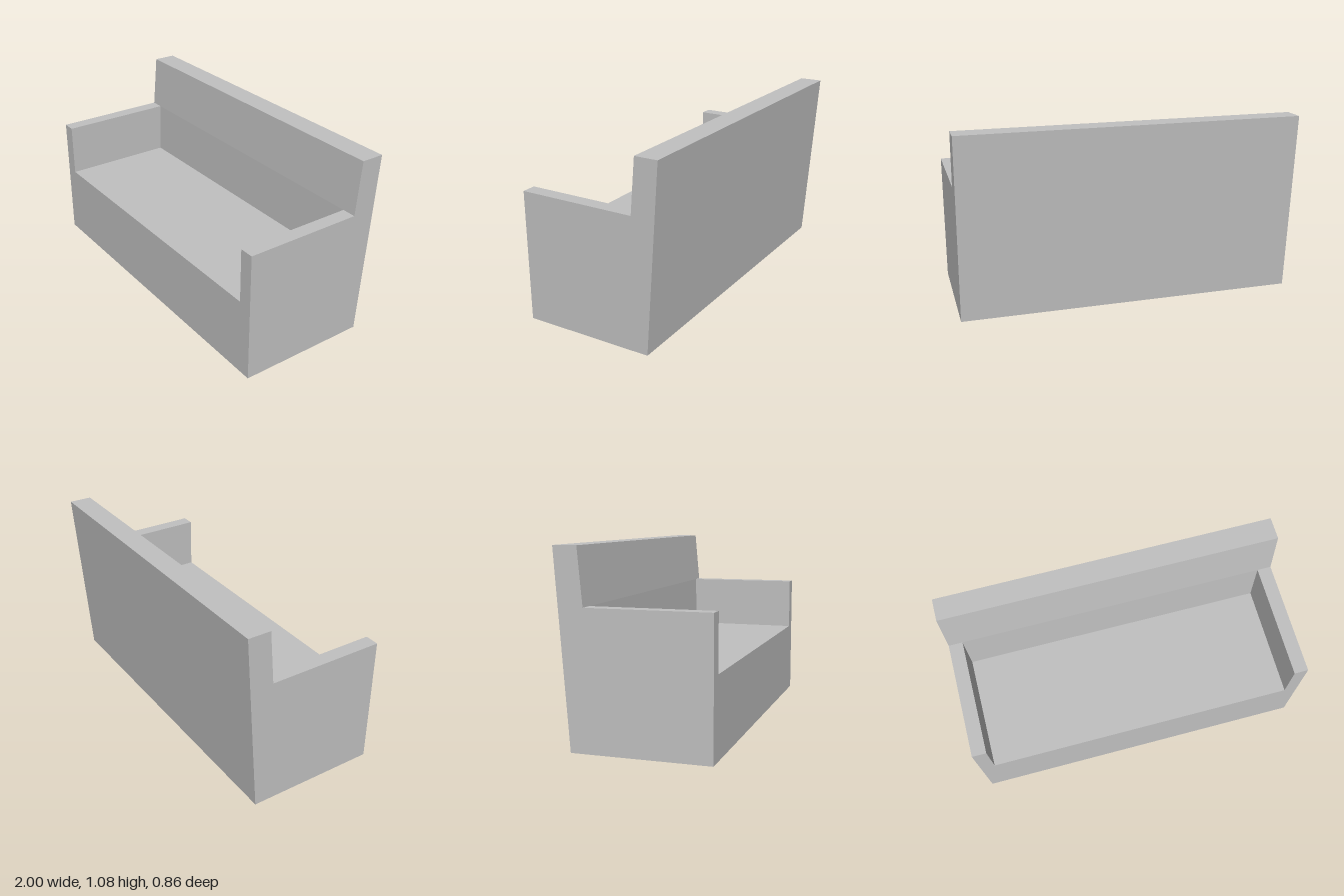
import * as THREE from 'three';

const W = 1, INNER = 0.917; // half widths: outside and between the arms

// Profile corners as [z, y]
const frontBottom = [0.428, 0], frontSeat = [0.428, 0.449], frontArm = [0.428, 0.766];
const seatBack = [-0.255, 0.449], armBack = [-0.265, 0.766];
const topFront = [-0.293, 1.081], topBack = [-0.428, 1.081], backBottom = [-0.348, 0];

export function createModel() {
  const sofa = new THREE.Group();
  sofa.name = 'sofa';
  const grey = new THREE.MeshStandardMaterial({ color: 0xc0c0c0 });
  grey.name = 'light grey';

  const add = (name, geometry, parent = sofa) => {
    const mesh = new THREE.Mesh(geometry, grey);
    mesh.name = name;
    parent.add(mesh);
  };

  // Flat faces spanning x0..x1 along a profile line
  const strip = (points, x0, x1) => {
    const pos = [];
    for (let i = 0; i < points.length - 1; i++) {
      const [az, ay] = points[i], [bz, by] = points[i + 1];
      pos.push(x0, ay, az, x1, ay, az, x1, by, bz);
      pos.push(x0, ay, az, x1, by, bz, x0, by, bz);
    }
    const g = new THREE.BufferGeometry();
    g.setAttribute('position', new THREE.Float32BufferAttribute(pos, 3));
    g.computeVertexNormals();
    return g;
  };

  // Upright panel at x, facing +x or -x
  const panel = (points, x, facing) => {
    const shape = new THREE.Shape(points.map(([z, y]) => new THREE.Vector2(-facing * z, y)));
    return new THREE.ShapeGeometry(shape).rotateY(facing * Math.PI / 2).translate(x, 0, 0);
  };

  // Full-width base front and underside
  add('base', strip([backBottom, frontBottom, frontSeat], -W, W));
  // Seat between the arms
  add('seat', strip([frontSeat, seatBack], -INNER, INNER));
  // Backrest: lower face between the arms, then the full-width top and rear
  add('lowerBackrest', strip([seatBack, armBack], -INNER, INNER));
  add('backrest', strip([armBack, topFront, topBack, backBottom], -W, W));

  // Arms, with the outer panels running down to the floor and up the backrest
  for (const side of [1, -1]) {
    const arm = new THREE.Group();
    arm.name = side > 0 ? 'leftArm' : 'rightArm';
    const [x0, x1] = side > 0 ? [INNER, W] : [-W, -INNER];
    add('armFrontAndTop', strip([frontSeat, frontArm, armBack], x0, x1), arm);
    add('armInside', panel([frontSeat, frontArm, armBack, seatBack], side * INNER, -side), arm);
    add('sidePanel', panel([frontBottom, frontArm, armBack, topFront, topBack, backBottom], side * W, side), arm);
    sofa.add(arm);
  }
  return sofa;
}
